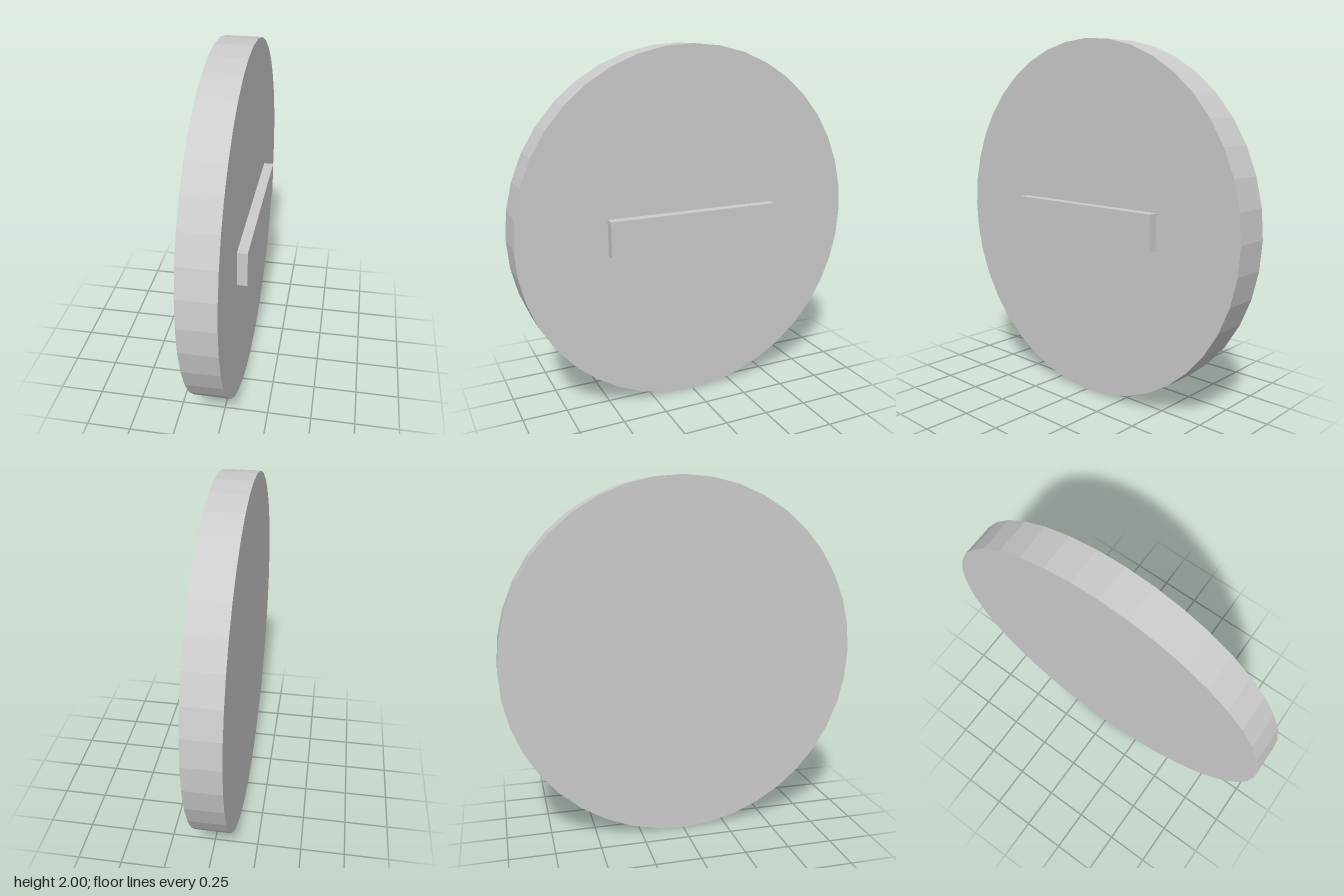
import * as THREE from 'three';

export function createModel() {
  const model = new THREE.Group();
  const material = new THREE.MeshStandardMaterial({ color: 0xcccccc, flatShading: true });

  function addPart(name, geometry, x) {
    const mesh = new THREE.Mesh(geometry, material);
    mesh.name = name;
    mesh.position.set(x, 1, 0);
    model.add(mesh);
  }

  const back = -0.127, face = 0.071, front = 0.127;

  // Upright 40-sided disc, axis along x
  const disc = new THREE.CylinderGeometry(1, 1, face - back, 40).rotateZ(Math.PI / 2);
  addPart('disc', disc, (back + face) / 2);

  // Raised bar across the middle of the disc's left face, set slightly into it
  const inset = 0.02;
  const bar = new THREE.BoxGeometry(front - face + inset, 0.2, 1);
  addPart('raisedBar', bar, (front + face - inset) / 2);

  return model;
}
